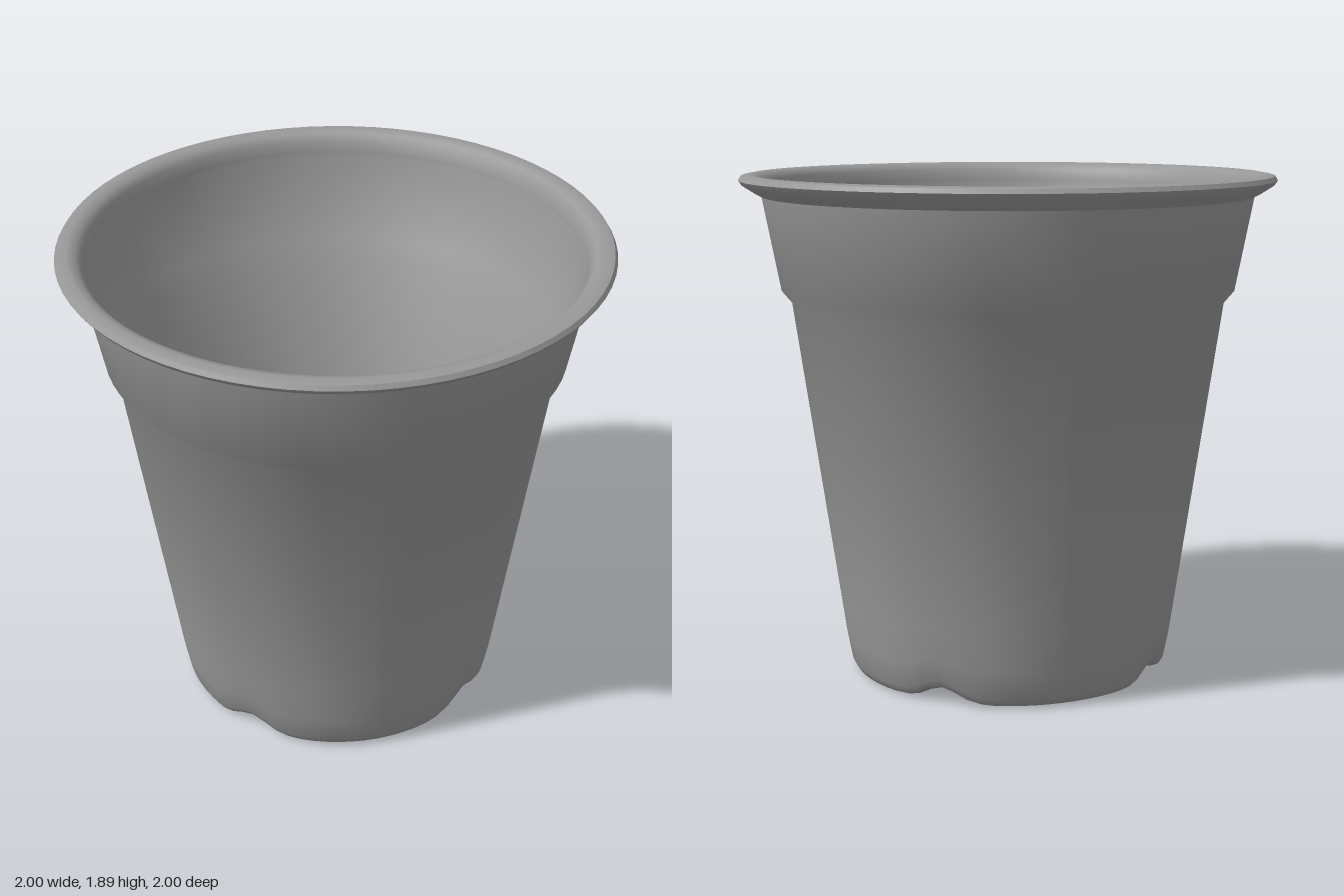
import * as THREE from 'three';
import { toCreasedNormals } from 'three/addons/utils/BufferGeometryUtils.js';

const SEGMENTS = 72;
const smooth = THREE.MathUtils.smoothstep;
const rad = THREE.MathUtils.degToRad;

// Shared moulding rule: lifts the four drainage notches, leans the pot slightly and tilts the rim
function mould(geometry) {
  const p = geometry.attributes.position;
  for (let i = 0; i < p.count; i++) {
    const x = p.getX(i), y = p.getY(i), z = p.getZ(i);
    const r = Math.hypot(x, z);
    // angular distance to the nearest notch, which repeat every 90 degrees
    const a = Math.atan2(z, x) - rad(70);
    const d = Math.atan2(Math.sin(a * 4), Math.cos(a * 4)) / 4;
    const notch = Math.exp(-((d / 0.16) ** 2));
    const lift = 0.055 * notch * smooth(r, 0.25, 0.54) * (1 - smooth(y, 0.06, 0.3));
    const lean = -0.022 * (1 - y / 1.9);
    const tilt = -0.009 * (x + z) * smooth(y, 1.7, 1.86);
    p.setXYZ(i, x + lean, y + lift + tilt, z + lean);
  }
  return toCreasedNormals(geometry, rad(38));
}

// Thin floor as a polar grid, leaving out cells for four slots and the centre hole
function floorGeometry() {
  const radii = [0.065, 0.15, 0.27, 0.4, 0.485, 0.525, 0.56];
  const slotRing = 3;
  const positions = [];
  const point = (ring, seg, top) => {
    const r = radii[ring], a = (seg / SEGMENTS) * Math.PI * 2;
    const y = 0.05 - 0.038 * smooth(r, 0.42, 0.56) + (top ? 0.025 : 0);
    return [r * Math.cos(a), y, r * Math.sin(a)];
  };
  const quad = (a, b, c, d) => positions.push(...a, ...b, ...c, ...a, ...c, ...d);
  const isSlot = (ring, seg) => ring === slotRing && (seg + SEGMENTS - 2) % 18 < 6;

  for (let s = 0; s < SEGMENTS; s++) {
    for (let k = 0; k < radii.length - 1; k++) {
      const corners = (top) => [point(k, s, top), point(k, s + 1, top), point(k + 1, s + 1, top), point(k + 1, s, top)];
      const [a, b, c, d] = corners(true);
      const [e, f, g, h] = corners(false);
      if (!isSlot(k, s)) {
        quad(a, b, c, d);
        quad(h, g, f, e);
        continue;
      }
      // walls of the slot
      quad(a, b, f, e);
      quad(c, d, h, g);
      if (!isSlot(k, s - 1)) quad(d, a, e, h);
      if (!isSlot(k, s + 1)) quad(b, c, g, f);
    }
    // wall of the centre hole
    quad(point(0, s + 1, true), point(0, s, true), point(0, s, false), point(0, s + 1, false));
  }
  const geometry = new THREE.BufferGeometry();
  geometry.setAttribute('position', new THREE.Float32BufferAttribute(positions, 3));
  return geometry;
}

export function createModel() {
  const plastic = new THREE.MeshStandardMaterial({ color: 0x999999, side: THREE.DoubleSide });
  plastic.name = 'grey plastic';
  const pot = new THREE.Group();
  pot.name = 'plantPot';

  const add = (name, geometry) => {
    const mesh = new THREE.Mesh(mould(geometry), plastic);
    mesh.name = name;
    pot.add(mesh);
  };
  const lathe = (points) =>
    new THREE.LatheGeometry(points.map(([x, y]) => new THREE.Vector2(x, y)), SEGMENTS);

  // Tapered outside: foot, body, step and collar
  add('outerWall', lathe([
    [0.56, 0.012], [0.585, 0.022], [0.602, 0.05], [0.622, 0.15], [0.644, 0.3],
    [0.81, 1.42], [0.848, 1.465], [0.915, 1.81],
  ]));

  // Rolled lip
  add('rim', lathe([
    [0.915, 1.81], [0.945, 1.825], [0.985, 1.85], [0.998, 1.868], [0.988, 1.884],
    [0.955, 1.89], [0.925, 1.882], [0.905, 1.86], [0.898, 1.81],
  ]));

  // Inside face, following the same step
  add('innerWall', lathe([
    [0.898, 1.81], [0.83, 1.475], [0.792, 1.43], [0.626, 0.3], [0.603, 0.15],
    [0.582, 0.06], [0.56, 0.037],
  ]));

  add('floor', floorGeometry());
  return pot;
}
